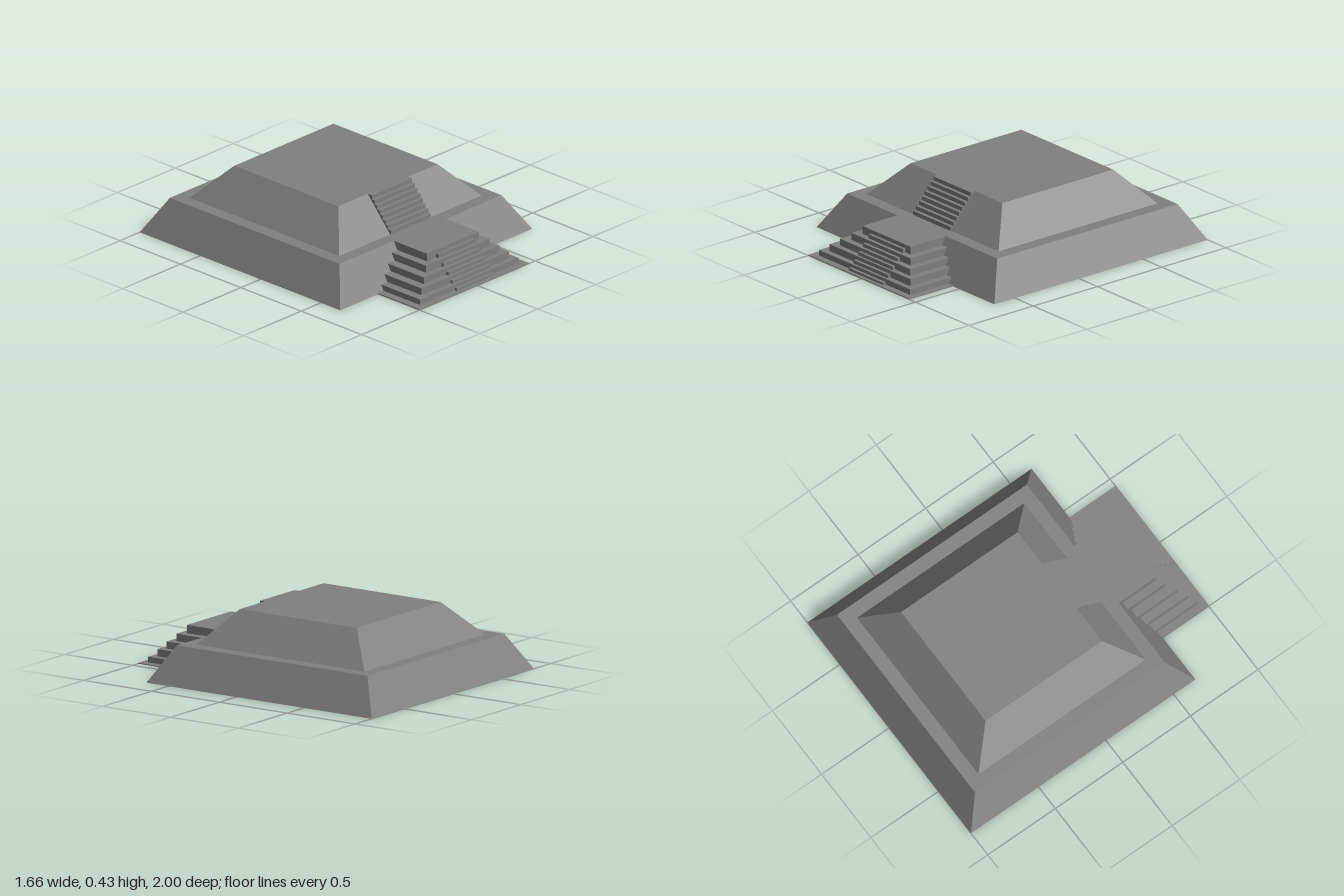
import * as THREE from 'three';

const stone = new THREE.MeshStandardMaterial({ color: 0x808080 });
stone.name = 'grey stone';

// Box between limits; the top rectangle may differ from the bottom one: [x0, x1, z0, z1]
function block(name, bottom, y0, y1, top = bottom) {
  const geo = new THREE.BoxGeometry(1, 1, 1);
  const p = geo.attributes.position;
  for (let i = 0; i < p.count; i++) {
    const up = p.getY(i) > 0;
    const r = up ? top : bottom;
    p.setXYZ(i, p.getX(i) > 0 ? r[1] : r[0], up ? y1 : y0, p.getZ(i) > 0 ? r[3] : r[2]);
  }
  geo.computeVertexNormals();
  const mesh = new THREE.Mesh(geo, stone);
  mesh.name = name;
  return mesh;
}

export function createModel() {
  const model = new THREE.Group();
  model.name = 'steppedPlatformMound';
  const H1 = 0.222, H2 = 0.43;

  // Two sloped terraces
  model.add(block('lowerTerrace', [-0.83, 0.83, -1, 0.66], 0, H1, [-0.70, 0.70, -0.875, 0.53]));
  model.add(block('upperTerrace', [-0.618, 0.614, -0.79, 0.448], H1, H2, [-0.43, 0.427, -0.6, 0.262]));

  // Projecting entrance: thin footing, five tiers, a half step before each tier
  const entrance = new THREE.Group();
  entrance.name = 'entrance';
  entrance.add(block('footing', [-0.5, 0.445, 0.645, 1], 0, 0.005));
  const tiers = [ // left, right, front, top
    [-0.451, 0.40, 0.957, 0.04],
    [-0.398, 0.357, 0.92, 0.084],
    [-0.342, 0.313, 0.885, 0.127],
    [-0.282, 0.268, 0.845, 0.172],
    [-0.231, 0.219, 0.803, H1],
  ];
  let below = 0;
  for (const [x0, x1, front, top] of tiers) {
    entrance.add(block('tier', [x0, x1, 0.53, front], below, top));
    entrance.add(block('lowerStep', [-0.15, 0.171, front - 0.01, front + 0.02], below, (below + top) / 2));
    below = top;
  }
  model.add(entrance);

  // Stair up the second terrace
  const stair = new THREE.Group();
  stair.name = 'upperStair';
  const steps = 8, rise = (H2 - H1) / steps;
  for (let i = 0; i < steps; i++) {
    const y = H1 + i * rise;
    stair.add(block('step', [-0.177, 0.172, 0.262 - 0.01 * (i < steps - 1), 0.453 - i * 0.0224], y, y + rise));
  }
  model.add(stair);
  return model;
}
